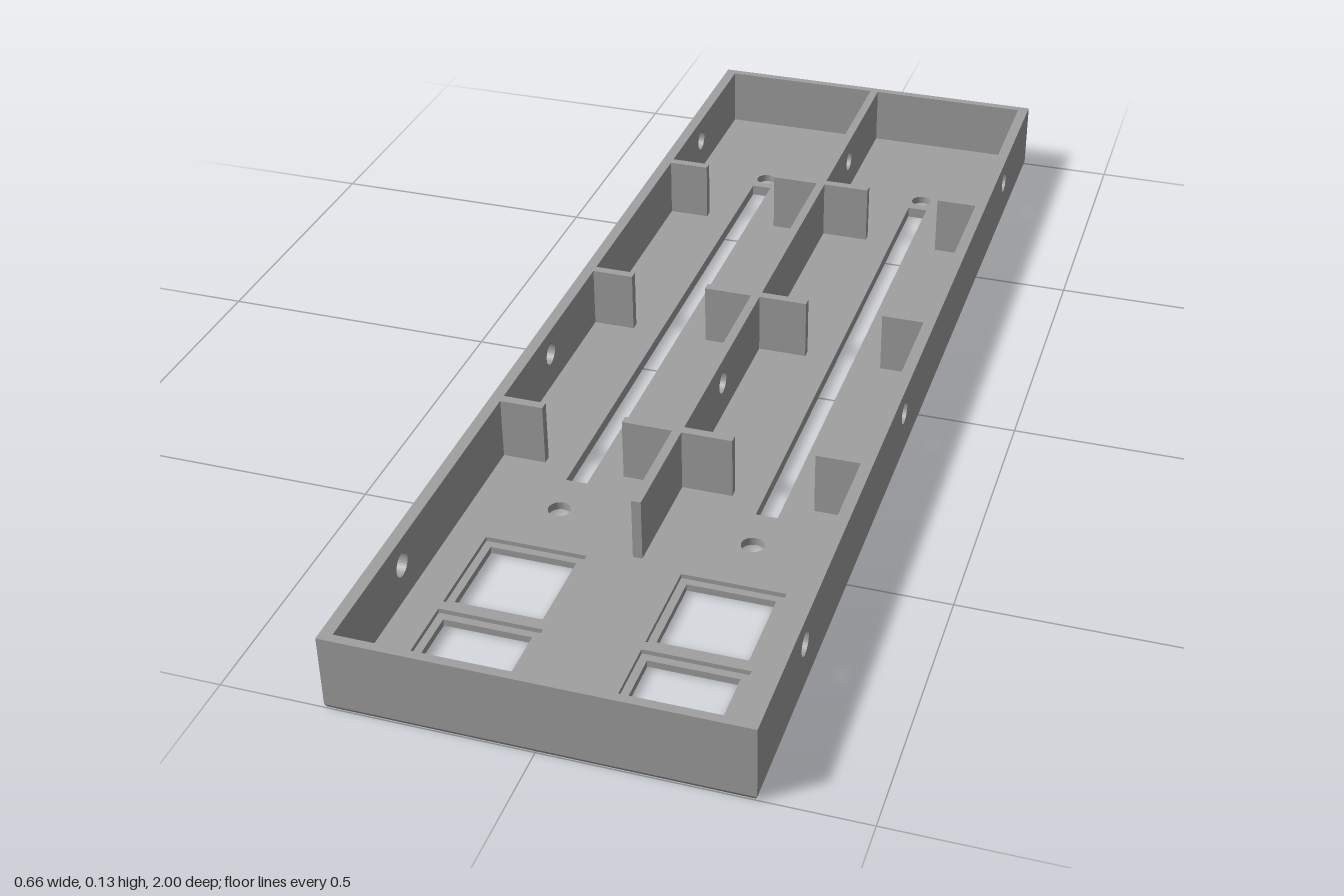
import * as THREE from 'three';

const W = 0.66, L = 2, H = 0.13;      // outer size of the tray
const FLOOR = 0.02, SIDE = 0.02, END = 0.015, RIB = 0.016;
const SKIN = 0.006, LIP = 0.012;      // heights of the floor steps
const SLOT_X = 0.165, SCREW_R = 0.019, SINK_R = 0.03;

const plastic = new THREE.MeshStandardMaterial({ color: 0xa0a0a0 });
plastic.name = 'grey plastic';

function rect(cx, cy, w, h, Type = THREE.Path) {
  const p = new Type();
  p.moveTo(cx - w / 2, cy - h / 2);
  p.lineTo(cx + w / 2, cy - h / 2);
  p.lineTo(cx + w / 2, cy + h / 2);
  p.lineTo(cx - w / 2, cy + h / 2);
  p.closePath();
  return p;
}

function circle(cx, cy, r) {
  return new THREE.Path().absarc(cx, cy, r, 0, Math.PI * 2, false);
}

const extrude = (shape, depth) =>
  new THREE.ExtrudeGeometry(shape, { depth, bevelEnabled: false, curveSegments: 16 });

const screws = [];
const windows = [];
for (const x of [-SLOT_X, SLOT_X]) {
  for (const z of [-0.735, 0.47]) screws.push([x, z]);
  for (const z of [0.66, 0.85]) windows.push([x, z]);
}

// One horizontal layer of the floor, pierced by slots, screws and windows
function floorLayer(y0, y1, windowSize, extra = []) {
  const shape = rect(0, 0, W, L, THREE.Shape);
  for (const [x, z] of screws) shape.holes.push(circle(x, z, SCREW_R));
  for (const [x, z] of windows) shape.holes.push(rect(x, z, windowSize, windowSize));
  for (const x of [-SLOT_X, SLOT_X]) shape.holes.push(rect(x, -0.155, 0.037, 1.09));
  shape.holes.push(...extra);
  return extrude(shape, y1 - y0).rotateX(Math.PI / 2).translate(0, y1, 0);
}

// Upright plate running along z, pierced by round cable holes
function longWall(x, z0, z1, thickness, holes) {
  const shape = rect((z0 + z1) / 2, (FLOOR + H) / 2, z1 - z0, H - FLOOR, THREE.Shape);
  for (const z of holes) shape.holes.push(circle(z, 0.085, 0.02));
  return extrude(shape, thickness).rotateY(-Math.PI / 2).translate(x + thickness / 2, 0, 0);
}

// Chamfer the lower outer edge and countersink the screw holes
function shapeUnderside(geometry) {
  const p = geometry.attributes.position;
  for (let i = 0; i < p.count; i++) {
    if (p.getY(i) > 0.001) continue;
    let x = p.getX(i), z = p.getZ(i);
    if (Math.abs(x) > W / 2 - 0.001) x -= Math.sign(x) * 0.003;
    if (Math.abs(z) > L / 2 - 0.001) z -= Math.sign(z) * 0.003;
    for (const [cx, cz] of screws) {
      if (Math.hypot(x - cx, z - cz) < SCREW_R + 0.001) {
        x = cx + (x - cx) * SINK_R / SCREW_R;
        z = cz + (z - cz) * SINK_R / SCREW_R;
      }
    }
    p.setXYZ(i, x, 0, z);
  }
  geometry.computeVertexNormals();
  return geometry;
}

export function createModel() {
  const group = new THREE.Group();
  group.name = 'tray';
  const add = (name, geometry) => {
    const mesh = new THREE.Mesh(geometry, plastic);
    mesh.name = name;
    group.add(mesh);
  };
  const box = (name, x, z, w, d) =>
    add(name, new THREE.BoxGeometry(w, H - FLOOR, d).translate(x, (H + FLOOR) / 2, z));

  // Shallow grooves in the underside: a cross line and rows of ticks
  const grooves = [rect(0, 0.545, W - 0.02, 0.008)];
  for (let i = 0; i < 9; i++) {
    for (const x of [-0.055, 0.055]) grooves.push(rect(x, -0.655 + i * 0.125, 0.03, 0.006));
  }

  // Floor with stepped window openings
  add('floorUnderside', shapeUnderside(floorLayer(0, SKIN, 0.146, grooves)));
  add('floorCore', floorLayer(SKIN, LIP, 0.146));
  add('floorTop', floorLayer(LIP, FLOOR, 0.172));

  // Outer walls
  const cableHoles = [0.755, 0.125, -0.745];
  for (const s of [-1, 1]) {
    add(s > 0 ? 'leftWall' : 'rightWall',
      longWall(s * (W - SIDE) / 2, -L / 2, L / 2, SIDE, cableHoles));
    box(s > 0 ? 'frontWall' : 'backWall', 0, s * (L - END) / 2, W - 2 * SIDE, END);
  }

  // Centre spine
  add('spine', longWall(0, -L / 2 + END, 0.555, RIB, cableHoles.slice(1)));

  // Cross ribs, broken around the slots
  for (const z of [-0.555, -0.105, 0.345]) {
    for (const s of [-1, 1]) {
      box('outerRib', s * 0.2725, z, 0.075, RIB);
      box('innerRib', s * 0.0515, z, 0.087, RIB);
    }
  }
  return group;
}
